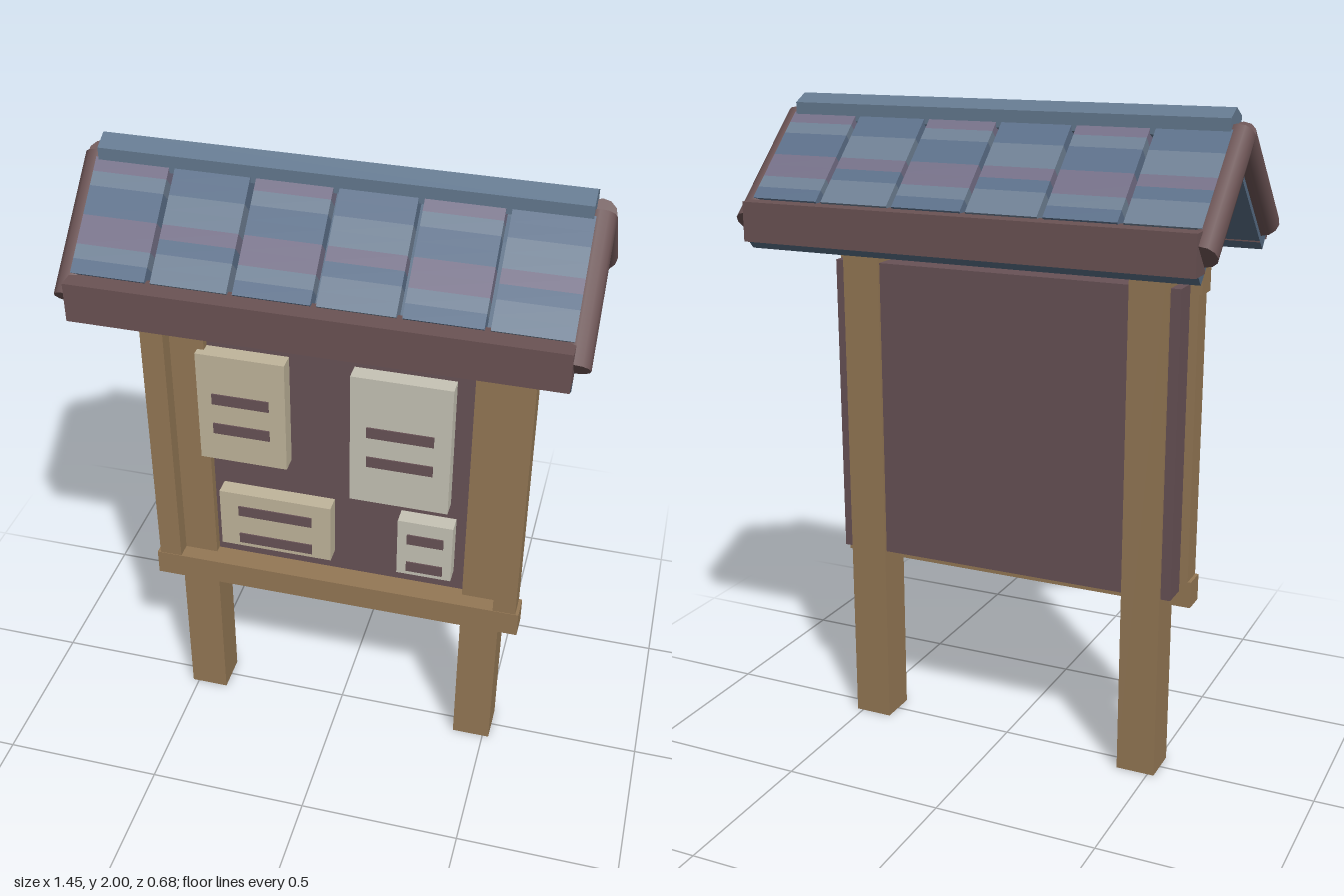
import * as THREE from 'three';

const mat = (color, flatShading = false) => new THREE.MeshStandardMaterial({ color, flatShading });
const WOOD = mat(0x947855), BOARD = mat(0x685256), TRIM = mat(0x6b5354);
const SHEET = mat(0x566b82), RIDGE = mat(0x64798f, true);
const TILE = { G: mat(0x6f8094), D: mat(0x5c708a), P: mat(0x757088) };
const PAPER_TAN = mat(0xc0b59b), PAPER_PALE = mat(0xc6c3b5);

// Box given by its extents on each axis
function box(parent, name, material, [x0, x1], [y0, y1], [z0, z1]) {
  const mesh = new THREE.Mesh(new THREE.BoxGeometry(x1 - x0, y1 - y0, z1 - z0), material);
  mesh.position.set((x0 + x1) / 2, (y0 + y1) / 2, (z0 + z1) / 2);
  mesh.name = name;
  parent.add(mesh);
  return mesh;
}

// A notice with bars standing in for lines of writing
function notice(parent, material, xs, ys, barXs, bars) {
  const g = new THREE.Group();
  g.name = 'notice';
  box(g, 'paper', material, xs, ys, [0.03, 0.085]);
  for (const y of bars) box(g, 'noticeBar', BOARD, barXs, [y - 0.018, y + 0.018], [0.08, 0.089]);
  parent.add(g);
}

// One pitch of the roof, with local z running down the slope
function roofSide() {
  const side = new THREE.Group();
  side.name = 'roofSide';
  const slope = new THREE.Group();
  slope.name = 'slope';
  slope.position.y = 1.987;
  slope.rotation.x = Math.atan(0.93);
  side.add(slope);

  box(slope, 'roofSheet', SHEET, [-0.68, 0.68], [-0.1, -0.05], [0.07, 0.497]);

  // Six columns of tiles, striped from eave to ridge
  const patterns = ['DGPPDDGP', 'GGDPGGDD'];
  const pitch = 0.2285, top = 0.06, bottom = 0.392;
  for (let i = 0; i < 6; i++) {
    const column = new THREE.Group();
    column.name = 'tileColumn';
    const x = -0.68 + i * pitch, step = (bottom - top) / 8;
    [...patterns[i % 2]].forEach((c, k) => {
      const z = bottom - k * step;
      box(column, 'tileStripe', TILE[c], [x, x + 0.2125], [-0.05, 0], [z - step, z]);
    });
    slope.add(column);
  }

  // Round trim along both gable edges
  for (const s of [-1, 1]) {
    const tube = new THREE.Mesh(new THREE.CylinderGeometry(0.043, 0.043, 0.41, 12), TRIM);
    tube.name = 'gableTrim';
    tube.rotation.x = Math.PI / 2;
    tube.position.set(s * 0.682, -0.042, 0.245);
    slope.add(tube);
  }

  box(side, 'eaveBoard', TRIM, [-0.68, 0.68], [1.6, 1.715], [0.265, 0.34]);
  return side;
}

export function createModel() {
  const model = new THREE.Group();
  model.name = 'noticeBoard';

  // Posts and backing board
  for (const s of [-1, 1]) {
    box(model, 'post', WOOD, [s * 0.46 - 0.06, s * 0.46 + 0.06], [0, 1.69], [-0.06, 0.06]);
    box(model, 'frameStile', WOOD, [s * 0.54 - 0.035, s * 0.54 + 0.035], [0.6, 1.49], [0.035, 0.108]);
  }
  box(model, 'board', BOARD, [-0.55, 0.55], [0.58, 1.51], [-0.05, 0.033]);

  // Frame rails
  for (const y of [0.53, 1.48])
    box(model, 'frameRail', WOOD, [-0.585, 0.585], [y, y + 0.082], [0.035, 0.11]);

  // Pinned notices
  notice(model, PAPER_TAN, [-0.42, -0.15], [1.01, 1.38], [-0.375, -0.2], [1.23, 1.125]);
  notice(model, PAPER_PALE, [0.045, 0.345], [0.94, 1.38], [0.095, 0.295], [1.195, 1.09]);
  notice(model, PAPER_TAN, [-0.37, -0.015], [0.68, 0.885], [-0.31, -0.075], [0.82, 0.713]);
  notice(model, PAPER_PALE, [0.195, 0.365], [0.68, 0.885], [0.225, 0.338], [0.82, 0.713]);

  // Roof: two pitches and a six-sided ridge cap
  const back = roofSide();
  back.rotation.y = Math.PI;
  model.add(roofSide(), back);
  const capGeo = new THREE.CylinderGeometry(0.05, 0.05, 1.34, 6);
  capGeo.rotateZ(Math.PI / 2);
  // a corner of the hexagon must point straight up
  capGeo.computeBoundingBox();
  if (capGeo.boundingBox.max.y < 0.049) capGeo.rotateX(Math.PI / 6);
  capGeo.scale(1, 1, 1.15);
  const cap = new THREE.Mesh(capGeo, RIDGE);
  cap.name = 'ridgeCap';
  cap.position.y = 1.95;
  model.add(cap);

  return model;
}
